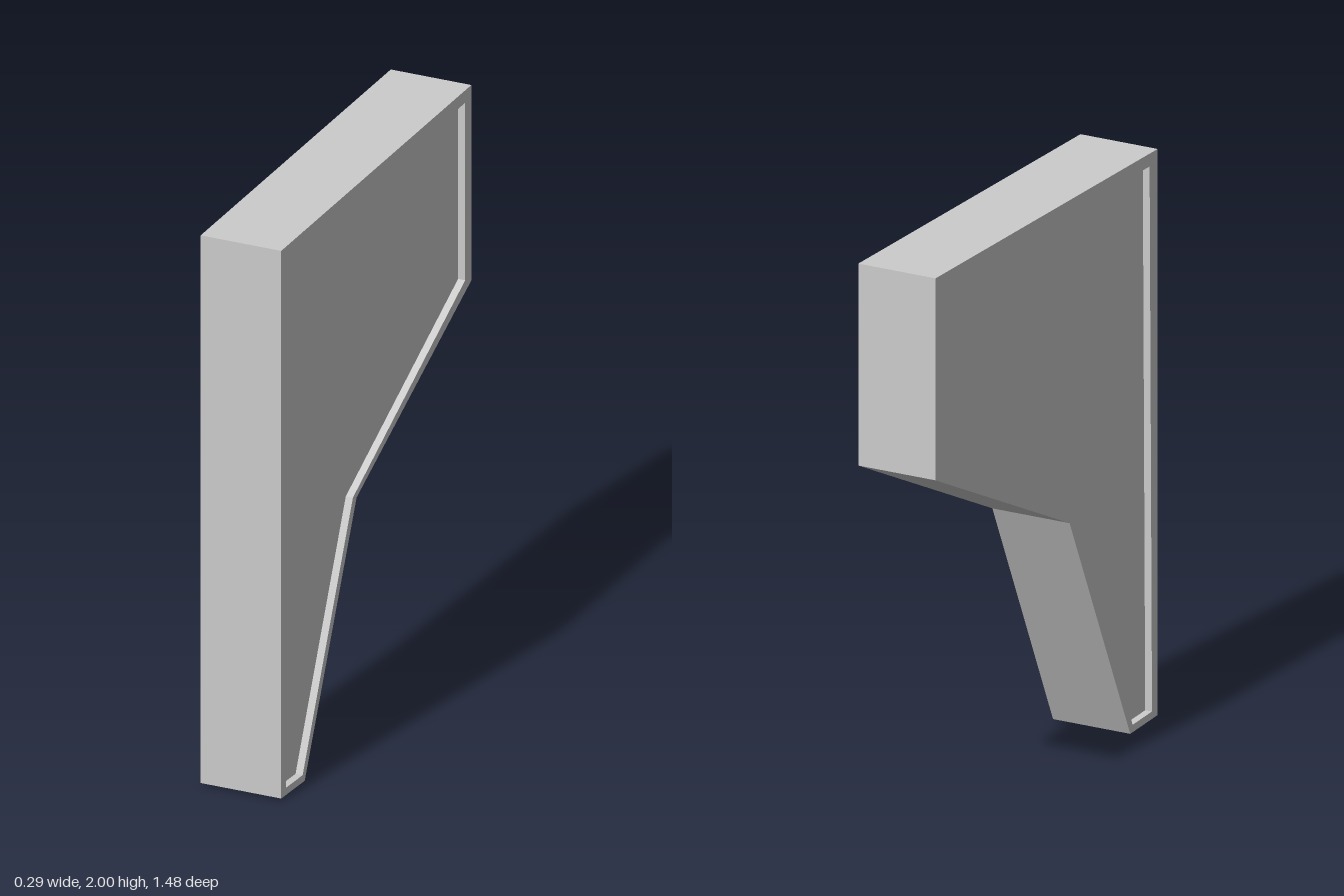
import * as THREE from 'three';

const WIDTH = 0.295;
const RECESS = 0.026;

// Side profiles as [z, y] corners
const OUTER = [[0.74, 0.01], [0.74, 2], [-0.74, 2], [-0.74, 1.29], [0.153, 0.865], [0.557, 0]];
const INNER = [[0.702, 0.034], [0.686, 1.955], [-0.692, 1.955], [-0.692, 1.31], [0.182, 0.876], [0.573, 0.027]];

const toPoints = (corners) => corners.map(([z, y]) => new THREE.Vector2(z, y));

// Extrudes a side profile across the width, centred on x = 0
function slab(name, shape, width, material) {
  const geometry = new THREE.ExtrudeGeometry(shape, { depth: width, bevelEnabled: false });
  geometry.translate(0, 0, -width / 2);
  geometry.rotateY(-Math.PI / 2);
  const mesh = new THREE.Mesh(geometry, material);
  mesh.name = name;
  return mesh;
}

export function createModel() {
  const material = new THREE.MeshStandardMaterial({ color: 0xcccccc });
  const group = new THREE.Group();
  group.name = 'bracket';

  // Full-width border that stands proud of the side panels
  const border = new THREE.Shape(toPoints(OUTER));
  border.holes.push(new THREE.Path(toPoints(INNER)));
  group.add(slab('rim', border, WIDTH, material));

  // Core whose two faces form the recessed side panels
  const core = new THREE.Shape(toPoints(INNER));
  group.add(slab('recessedPanel', core, WIDTH - 2 * RECESS, material));

  return group;
}
